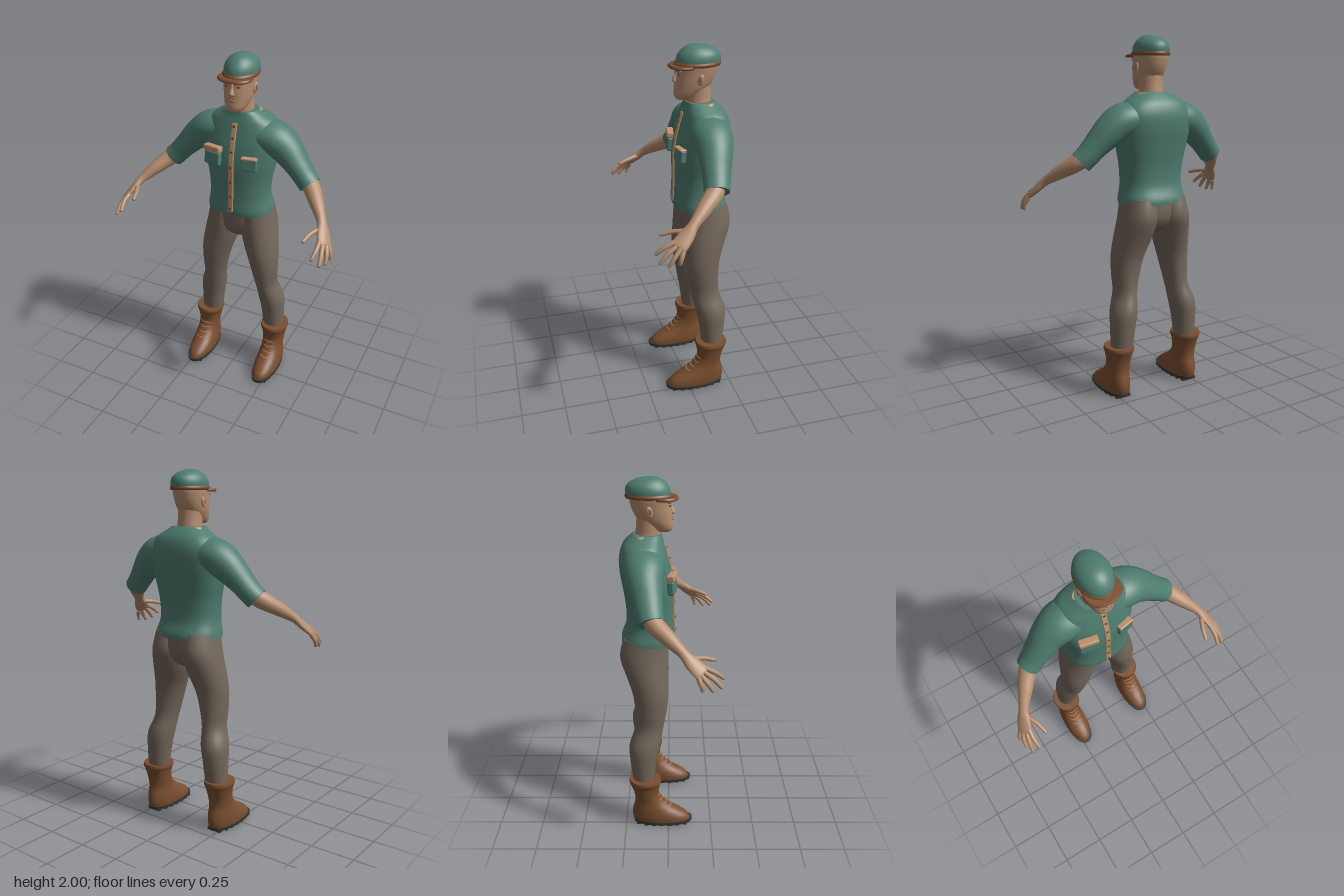
import * as THREE from 'three';
import { RoundedBoxGeometry } from 'three/addons/geometries/RoundedBoxGeometry.js';

const mat = (name, color) => {
  const m = new THREE.MeshStandardMaterial({ color });
  m.name = name;
  return m;
};
const V = (x, y, z) => new THREE.Vector3(x, y, z);

// Smoothly interpolates every column of a table of rows.
function sample(rows, t) {
  const f = t * (rows.length - 1), i = Math.min(Math.floor(f), rows.length - 2), k = f - i;
  const at = j => rows[Math.max(0, Math.min(rows.length - 1, j))];
  return rows[0].map((_, c) => {
    const a = at(i - 1)[c], b = at(i)[c], d = at(i + 1)[c], e = at(i + 2)[c];
    return b + 0.5 * k * (d - a + k * (2 * a - 5 * b + 4 * d - e + k * (3 * (b - d) + e - a)));
  });
}

// Skins a closed surface over cross-sections { c, u, v } (u and v are half axes).
function skin(sections, n, power) {
  const pos = [], idx = [];
  const ring = s => {
    for (let j = 0; j < n; j++) {
      const a = j / n * Math.PI * 2, c = Math.cos(a), d = Math.sin(a);
      const p = s.c.clone()
        .addScaledVector(s.u, Math.sign(c) * Math.abs(c) ** power)
        .addScaledVector(s.v, Math.sign(d) * Math.abs(d) ** power);
      pos.push(p.x, p.y, p.z);
    }
  };
  sections.forEach(ring);
  for (let i = 0; i < sections.length - 1; i++) for (let j = 0; j < n; j++) {
    const a = i * n + j, b = i * n + (j + 1) % n;
    idx.push(a, a + n, b, b, a + n, b + n);
  }
  [sections[0], sections[sections.length - 1]].forEach((s, end) => {
    const base = pos.length / 3;
    ring(s);
    pos.push(s.c.x, s.c.y, s.c.z);
    for (let j = 0; j < n; j++) {
      const a = base + j, b = base + (j + 1) % n;
      idx.push(base + n, end ? b : a, end ? a : b);
    }
  });
  const g = new THREE.BufferGeometry();
  g.setAttribute('position', new THREE.Float32BufferAttribute(pos, 3));
  g.setIndex(idx);
  g.computeVertexNormals();
  return g;
}

// Upright form; rows are [y, centre x, half width, front z, back z].
function upright(rows, power = 1, n = 36, steps = 4) {
  const count = (rows.length - 1) * steps;
  return skin(Array.from({ length: count + 1 }, (_, i) => {
    const [y, x, w, f, b] = sample(rows, i / count);
    return { c: V(x, y, (f + b) / 2), u: V(w, 0, 0), v: V(0, 0, (f - b) / 2) };
  }), n, power);
}

// Limb along a path; rows are [x, y, z, radius along ref, other radius].
function limb(rows, side, ref, n = 20, steps = 5) {
  const count = (rows.length - 1) * steps;
  const at = t => sample(rows, Math.max(0, Math.min(1, t)));
  return skin(Array.from({ length: count + 1 }, (_, i) => {
    const t = i / count, r = at(t), a = at(t - 0.02), b = at(t + 0.02);
    const dir = V(side * (b[0] - a[0]), b[1] - a[1], b[2] - a[2]).normalize();
    const u = V(side * ref[0], ref[1], ref[2]);
    u.addScaledVector(dir, -u.dot(dir)).normalize();
    const v = u.clone().cross(dir);
    return { c: V(side * r[0], r[1], r[2]), u: u.multiplyScalar(r[3]), v: v.multiplyScalar(r[4]) };
  }), n, 1);
}

export function createModel() {
  const model = new THREE.Group();
  const green = mat('green cloth', 0x4f7d70), flesh = mat('skin', 0xb48d6e);
  const brown = mat('trouser cloth', 0x73675a), leather = mat('brown leather', 0x7a4e2f);
  const rubber = mat('dark rubber', 0x343630), tan = mat('tan trim', 0xbd936d);
  const dark = mat('dark brown', 0x49362a), lip = mat('lips', 0x95664f);
  const add = (name, geo, material, x = 0, y = 0, z = 0) => {
    const m = new THREE.Mesh(geo, material);
    m.name = name;
    m.position.set(x, y, z);
    model.add(m);
    return m;
  };

  // Shirt body, open collar and button strip
  const chest = [[1.1, 0, 0.19, 0.03, -0.265], [1.13, 0, 0.188, 0.034, -0.262],
    [1.2, 0, 0.174, 0.03, -0.237], [1.3, 0, 0.18, 0.028, -0.237], [1.4, 0, 0.2, 0.028, -0.25],
    [1.5, 0, 0.215, 0.015, -0.266], [1.58, 0, 0.215, -0.005, -0.268], [1.64, 0, 0.18, -0.022, -0.25],
    [1.675, 0, 0.13, -0.032, -0.22], [1.7, 0, 0.09, -0.036, -0.19]];
  add('shirt', upright(chest, 0.82, 48), green);
  add('collarLining', upright([[1.68, 0, 0.112, -0.1, -0.195], [1.698, 0, 0.1, -0.1, -0.188]], 1), tan);
  const strip = chest.slice(1, 8).map(r => [r[0], 0, 0.015, r[3] + 0.007, r[3] - 0.02]);
  add('buttonStrip', upright(strip, 0.3, 24), tan);
  for (let i = 0; i < 7; i++) {
    const r = sample(strip, 0.06 + i * 0.147);
    add('button', new THREE.CylinderGeometry(0.007, 0.007, 0.006, 10), leather, 0, r[0], r[3] + 0.002).rotation.x = Math.PI / 2;
  }

  // Chest pockets: one with a full flap, one with a narrow edge
  const pocket = (name, x, y, w, h, d, z, m) => {
    add(name, new RoundedBoxGeometry(w, h, d, 3, 0.008), m, x, y, z).rotation.set(-0.08, x * 1.8, 0);
  };
  pocket('rightPocket', -0.112, 1.435, 0.1, 0.075, 0.035, 0.02, green);
  pocket('rightPocketFlap', -0.112, 1.491, 0.108, 0.034, 0.042, 0.02, tan);
  pocket('leftPocket', 0.105, 1.433, 0.088, 0.07, 0.035, 0.02, green);
  pocket('leftPocketEdge', 0.105, 1.469, 0.088, 0.014, 0.04, 0.02, tan);

  // Hips
  add('hips', upright([[0.925, 0, 0.04, -0.06, -0.16], [0.96, 0, 0.11, -0.015, -0.215],
    [1.03, 0, 0.185, 0, -0.25], [1.14, 0, 0.18, 0, -0.245]]), brown);

  for (const s of [1, -1]) {
    const mirror = rows => rows.map(([y, x, ...rest]) => [y, s * x, ...rest]);

    // Trouser leg
    add('trouserLeg', upright(mirror([[0.27, 0.212, 0.062, -0.085, -0.205], [0.4, 0.206, 0.07, -0.07, -0.22],
      [0.5, 0.195, 0.075, -0.05, -0.225], [0.6, 0.173, 0.064, -0.03, -0.195], [0.7, 0.162, 0.077, -0.012, -0.19],
      [0.8, 0.148, 0.091, 0, -0.2], [0.9, 0.125, 0.104, 0, -0.232], [1, 0.106, 0.104, 0, -0.268],
      [1.06, 0.1, 0.098, 0, -0.268], [1.13, 0.095, 0.09, 0, -0.25]])), brown);

    // Boot with rolled cuff, sole, treads and laces
    const boot = mirror([[0.02, 0.226, 0.07, 0.13, -0.205], [0.05, 0.226, 0.073, 0.115, -0.212],
      [0.08, 0.226, 0.071, 0.075, -0.212], [0.11, 0.226, 0.067, 0.025, -0.206], [0.15, 0.226, 0.062, -0.025, -0.197],
      [0.2, 0.226, 0.066, -0.055, -0.2], [0.255, 0.226, 0.074, -0.05, -0.218], [0.28, 0.226, 0.083, -0.043, -0.228],
      [0.298, 0.226, 0.081, -0.047, -0.226]]);
    add('boot', upright(boot, 0.95), leather);
    add('sole', upright(mirror([[0.01, 0.226, 0.072, 0.138, -0.205], [0.027, 0.226, 0.073, 0.14, -0.207]]), 0.9), rubber);
    for (let i = 0; i < 7; i++) {
      const z = 0.095 - i * 0.045, w = 0.128 * Math.sqrt(1 - ((z + 0.035) / 0.19) ** 2);
      add('tread', new THREE.BoxGeometry(w, 0.014, 0.024), rubber, s * 0.226, 0.007, z);
    }
    for (let i = 0; i < 4; i++) {
      const [y, x, w, f, b] = sample(boot, 0.4 + i * 0.07);
      const pts = [-0.034, 0, 0.034].map(d =>
        V(x + d, y, (f + b) / 2 + (f - b) / 2 * Math.sqrt(1 - (d / w) ** 2) + 0.001));
      add('lace', new THREE.TubeGeometry(new THREE.CatmullRomCurve3(pts), 8, 0.0028, 6), tan);
    }

    // Sleeve
    add('sleeve', limb([[0.1, 1.565, -0.13, 0.11, 0.085], [0.19, 1.55, -0.128, 0.112, 0.094],
      [0.265, 1.5, -0.122, 0.096, 0.086], [0.34, 1.425, -0.105, 0.08, 0.068],
      [0.385, 1.375, -0.095, 0.072, 0.062], [0.422, 1.338, -0.084, 0.067, 0.062]], s, [0, 0, 1], 32), green);

    // Forearm running into the palm
    const across = [0.71, -0.6, -0.38];
    add('forearm', limb([[0.38, 1.38, -0.095, 0.05, 0.05], [0.435, 1.335, -0.065, 0.05, 0.047],
      [0.495, 1.285, 0.005, 0.041, 0.038], [0.55, 1.232, 0.075, 0.028, 0.024], [0.577, 1.192, 0.118, 0.04, 0.02],
      [0.602, 1.153, 0.163, 0.043, 0.015], [0.607, 1.145, 0.172, 0.036, 0.01]], s, across), flesh);

    // Fingers and thumb: knuckle, middle joint and tip
    const fingers = [
      [[0.58, 1.172, 0.17], [0.583, 1.145, 0.23], [0.575, 1.11, 0.275]],
      [[0.595, 1.158, 0.165], [0.61, 1.12, 0.225], [0.615, 1.077, 0.265]],
      [[0.61, 1.146, 0.157], [0.63, 1.105, 0.195], [0.633, 1.066, 0.222]],
      [[0.622, 1.135, 0.148], [0.64, 1.1, 0.163], [0.64, 1.07, 0.17]],
      [[0.56, 1.205, 0.11], [0.528, 1.198, 0.175], [0.511, 1.18, 0.235]]];
    fingers.forEach(([a, b, c], i) => {
      const end = c.map((v, k) => v + (v - b[k]) * 0.08);
      add(i < 4 ? 'finger' : 'thumb', limb([[...a, 0.014, 0.014], [...b, 0.012, 0.012],
        [...c, 0.009, 0.009], [...end, 0.002, 0.002]], s, across, 10, 4), flesh);
    });

    // Ear, eye and brow
    const ear = add('ear', new THREE.SphereGeometry(1, 16, 12), flesh, s * 0.084, 1.828, -0.098);
    ear.scale.set(0.009, 0.03, 0.018);
    ear.rotation.set(-0.2, s * -0.3, 0);
    const hollow = add('earHollow', new THREE.SphereGeometry(1, 12, 8), lip, s * 0.09, 1.831, -0.096);
    hollow.scale.set(0.005, 0.017, 0.009);
    const eye = add('eye', new THREE.SphereGeometry(1, 12, 8), dark, s * 0.034, 1.852, 0.008);
    eye.scale.set(0.012, 0.004, 0.006);
    const brow = add('brow', new RoundedBoxGeometry(0.036, 0.008, 0.012, 2, 0.003), lip, s * 0.036, 1.869, 0.009);
    brow.rotation.set(0, s * 0.3, s * 0.08);
  }

  // Neck and head
  add('neck', upright([[1.63, 0, 0.08, -0.045, -0.185], [1.7, 0, 0.068, -0.04, -0.178],
    [1.76, 0, 0.065, -0.04, -0.172], [1.82, 0, 0.065, -0.04, -0.17]]), flesh);
  add('head', upright([[1.712, 0, 0.03, 0.008, -0.06], [1.722, 0, 0.046, 0.02, -0.09], [1.745, 0, 0.06, 0.026, -0.125],
    [1.78, 0, 0.073, 0.022, -0.165], [1.82, 0, 0.08, 0.019, -0.19], [1.86, 0, 0.084, 0.014, -0.203],
    [1.9, 0, 0.086, 0.016, -0.208], [1.94, 0, 0.075, 0, -0.19]], 0.92), flesh);
  add('nose', upright([[1.803, 0, 0.008, 0.024, 0], [1.81, 0, 0.017, 0.034, 0], [1.82, 0, 0.015, 0.038, 0],
    [1.845, 0, 0.009, 0.025, 0], [1.868, 0, 0.009, 0.017, 0]], 1, 16), flesh);
  const mouth = add('mouth', new THREE.SphereGeometry(1, 16, 8), lip, 0, 1.778, 0.02);
  mouth.scale.set(0.026, 0.006, 0.007);

  // Cap with leather band and short visor
  add('cap', upright([[1.895, 0, 0.09, 0.016, -0.225], [1.93, 0, 0.09, 0.012, -0.229], [1.96, 0, 0.079, -0.004, -0.217],
    [1.984, 0, 0.055, -0.03, -0.18], [1.997, 0, 0.026, -0.06, -0.13], [2, 0, 0.002, -0.09, -0.094]]), green);
  add('capBand', upright([[1.89, 0, 0.091, 0.02, -0.226], [1.9, 0, 0.096, 0.026, -0.231],
    [1.912, 0, 0.091, 0.018, -0.228]]), leather);
  add('visor', upright([[1.882, 0, 0.092, 0.05, -0.1], [1.888, 0, 0.096, 0.055, -0.1],
    [1.898, 0, 0.092, 0.048, -0.1]], 0.9), leather);
  return model;
}
